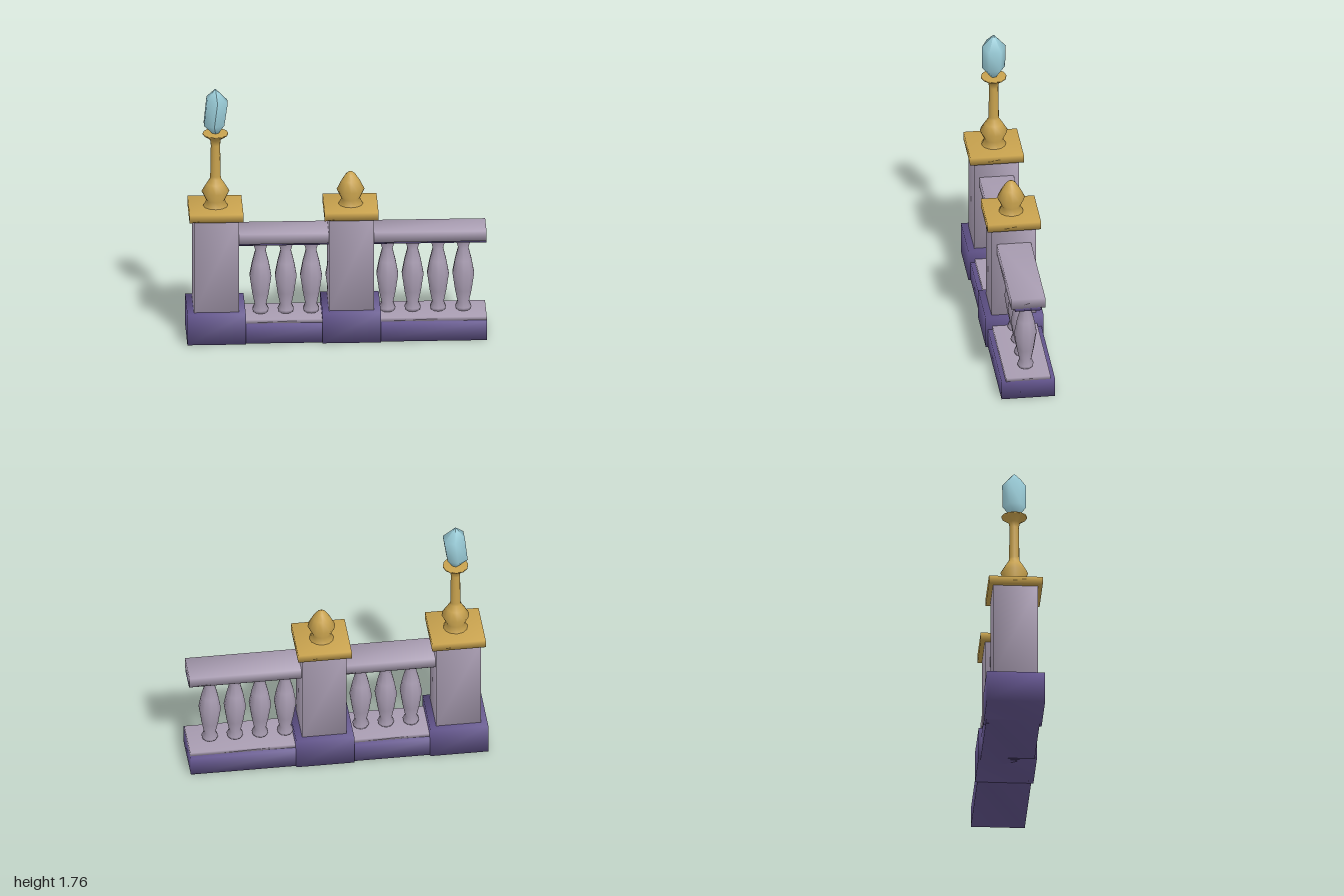
import * as THREE from 'three';
import { mergeVertices } from 'three/addons/utils/BufferGeometryUtils.js';

const material = (name, color) => {
  const m = new THREE.MeshStandardMaterial({ color });
  m.name = name;
  return m;
};

// Box given by its extents, with normals shared across the corners for soft shading
function softBox(width, y0, y1, depth) {
  const g = new THREE.BoxGeometry(width, y1 - y0, depth);
  g.deleteAttribute('normal');
  g.deleteAttribute('uv');
  const soft = mergeVertices(g);
  soft.computeVertexNormals();
  soft.translate(0, (y0 + y1) / 2, 0);
  return soft;
}

const lathe = (points, sides) =>
  new THREE.LatheGeometry(points.map(([r, y]) => new THREE.Vector2(r, y)), sides);

export function createModel() {
  const model = new THREE.Group();
  model.name = 'balustrade';
  const stone = material('pale lavender stone', 0xa99db2);
  const plinthStone = material('purple stone', 0x62548c);
  const gold = material('gold', 0xc8a24e);
  const crystalBlue = material('crystal blue', 0x9dd0dc);

  const add = (parent, name, geometry, mat, x = 0) => {
    const mesh = new THREE.Mesh(geometry, mat);
    mesh.name = name;
    mesh.position.x = x;
    parent.add(mesh);
    return mesh;
  };

  // Square posts with base, shaft and gold cap
  const postX = { lampPost: -0.805, finialPost: 0.097 };
  const posts = {};
  for (const [name, x] of Object.entries(postX)) {
    const post = posts[name] = new THREE.Group();
    post.name = name;
    post.position.x = x;
    model.add(post);
    add(post, 'postBase', softBox(0.39, 0, 0.215, 0.39), plinthStone);
    add(post, 'postShaft', softBox(0.3, 0.21, 0.875, 0.3), stone);
    add(post, 'postCap', softBox(0.36, 0.87, 0.925, 0.36), gold);
  }

  // Turned gold ornaments on the posts
  const foot = [[0.085, 0.92], [0.062, 0.965], [0.093, 1.03]];
  add(posts.finialPost, 'pointedFinial',
    lathe([...foot, [0.06, 1.095], [0.033, 1.135], [0.014, 1.151], [0, 1.156]], 12), gold);
  add(posts.lampPost, 'lampStand',
    lathe([...foot, [0.06, 1.085], [0.037, 1.12], [0.035, 1.14], [0.031, 1.36],
      [0.036, 1.4], [0.085, 1.435], [0.085, 1.446], [0, 1.446]], 12), gold);

  // Six-sided crystal, its upper ring leaning to one side
  const crystal = lathe([[0, 1.445], [0.025, 1.447], [0.078, 1.51], [0.08, 1.68], [0, 1.762]], 6);
  const p = crystal.attributes.position;
  for (let i = 0; i < p.count; i++) {
    const x = p.getX(i), y = p.getY(i);
    if (y > 1.6 && y < 1.7) p.setXY(i, x + 0.011, y - x * 0.2);
    else if (y > 1.5 && y < 1.6) p.setX(i, x - 0.01);
  }
  crystal.computeVertexNormals();
  add(posts.lampPost, 'crystal', crystal, crystalBlue);

  // Railing runs: plinth, sill, handrail and four balusters each
  const balusterShape = lathe([[0, 0.155], [0.048, 0.158], [0.056, 0.18], [0.04, 0.215],
    [0.058, 0.3], [0.076, 0.42], [0.058, 0.515], [0.036, 0.6], [0.049, 0.645], [0.049, 0.668]], 10);
  const runs = [
    { name: 'shortRailing', from: -0.7, to: 0, first: -0.505 },
    { name: 'endRailing', from: 0.19, to: 1, first: 0.342 },
  ];
  for (const { name, from, to, first } of runs) {
    const run = new THREE.Group();
    run.name = name;
    model.add(run);
    const length = to - from, mid = (from + to) / 2;
    add(run, 'plinth', softBox(length, 0, 0.132, 0.36), plinthStone, mid);
    add(run, 'sill', softBox(length, 0.13, 0.157, 0.3), stone, mid);
    add(run, 'railUnderside', softBox(length, 0.666, 0.69, 0.18), plinthStone, mid);
    add(run, 'handrail', softBox(length, 0.686, 0.757, 0.23), stone, mid);
    for (let i = 0; i < 4; i++) add(run, 'baluster', balusterShape, stone, first + i * 0.169);
  }
  return model;
}
